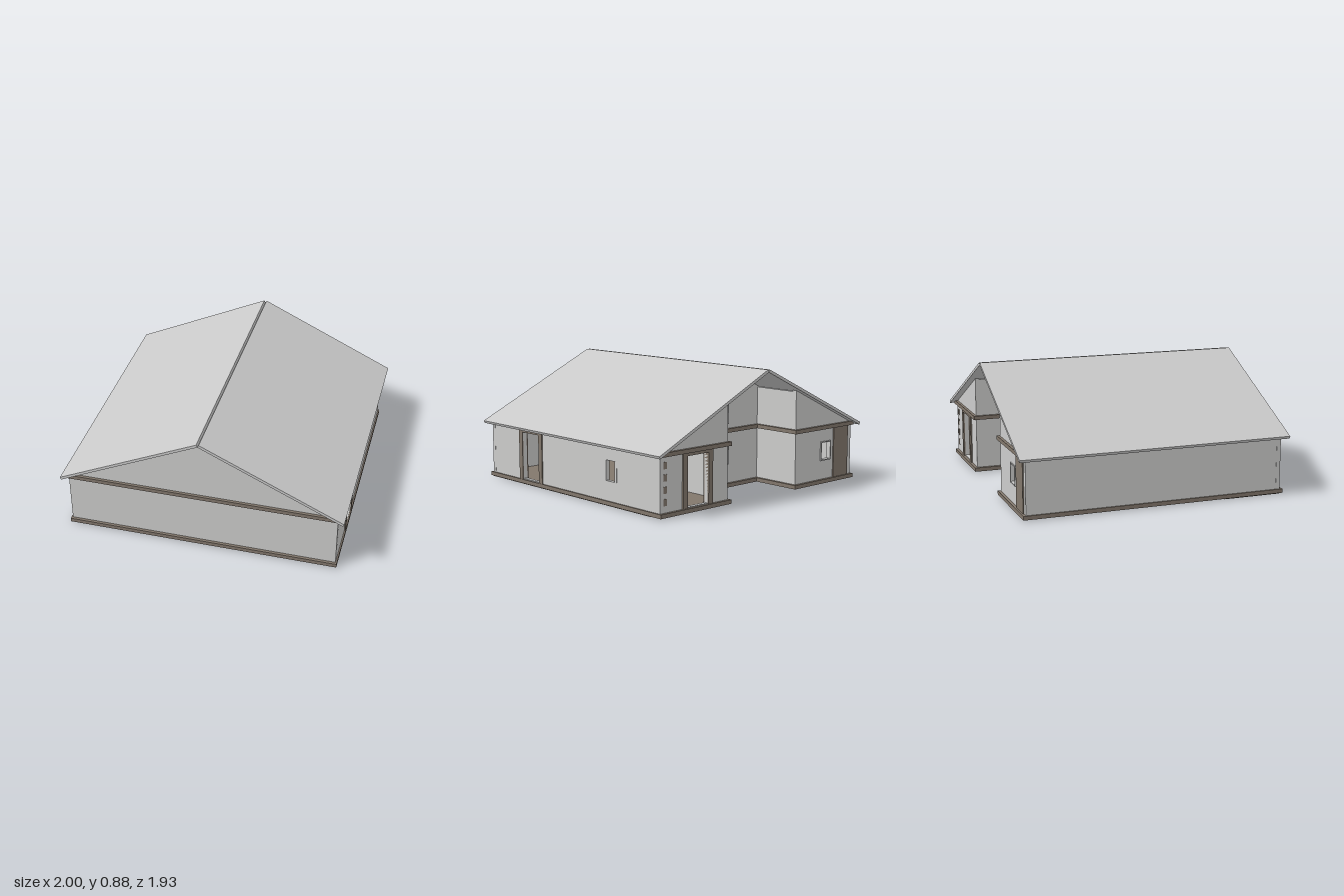
import * as THREE from 'three';

const T = 0.03;                                   // wall thickness
const FLOOR = 0.034, BEAM = 0.4, SILL = 0.17, HEAD = 0.31;
const roofUnder = x => 0.867 - 0.4717 * Math.abs(x);

export function createModel() {
  const model = new THREE.Group();
  const mat = (name, color) => {
    const m = new THREE.MeshStandardMaterial({ color });
    m.name = name;
    return m;
  };
  const wallGrey = mat('wall grey', 0xcccccb);
  const roofGrey = mat('roof grey', 0xc9c9c9);
  const brown = mat('concrete brown', 0x82776c);

  const add = (name, geometry, material) => {
    const mesh = new THREE.Mesh(geometry, material);
    mesh.name = name;
    model.add(mesh);
    return mesh;
  };
  // Box given by its minimum and maximum corners
  const box = (name, material, x0, x1, y0, y1, z0, z1) => {
    const g = new THREE.BoxGeometry(x1 - x0, y1 - y0, z1 - z0);
    g.translate((x0 + x1) / 2, (y0 + y1) / 2, (z0 + z1) / 2);
    return add(name, g, material);
  };
  const polygon = points => new THREE.Shape(points.map(p => new THREE.Vector2(...p)));
  const extrude = (points, depth, holes = []) => {
    const shape = polygon(points);
    for (const [a, b, c, d] of holes) {
      shape.holes.push(polygon([[a, c], [a, d], [b, d], [b, c]]));
    }
    return new THREE.ExtrudeGeometry(shape, { depth, bevelEnabled: false });
  };
  // Wall across x, rising to the roof slope; z is its rear face
  const gableWall = (name, x0, x1, z, holes) => {
    const top = [[x1, roofUnder(x1)]];
    if (x0 < 0 && x1 > 0) top.push([0, roofUnder(0)]);
    top.push([x0, roofUnder(x0)]);
    const g = extrude([[x0, FLOOR], [x1, FLOOR], ...top], T, holes);
    add(name, g.translate(0, 0, z), wallGrey);
  };
  // Wall along z; x is its face on the +x side
  const sideWall = (name, x, z0, z1, height, holes) => {
    const g = extrude([[z0, FLOOR], [z1, FLOOR], [z1, height], [z0, height]], T, holes);
    add(name, g.rotateY(-Math.PI / 2).translate(x, 0, 0), wallGrey);
  };

  // Floor slab and ring beam slab share the notched plan
  const plan = [[-0.96, -0.94], [0.96, -0.94], [0.96, 0.94], [0.32, 0.94],
    [0.32, 0.57], [-0.32, 0.57], [-0.32, 0.94], [-0.96, 0.94]];
  const slab = (name, y, h) =>
    add(name, extrude(plan, h).rotateX(-Math.PI / 2).translate(0, y, 0), brown);
  slab('floorSlab', 0.006, 0.028);
  slab('ringBeam', BEAM, 0.028);
  box('footing', brown, -0.95, -0.79, 0, 0.006, 0.5, 0.92);
  box('footing', brown, 0.87, 0.95, 0, 0.006, -0.84, 0.92);

  // Outer walls
  gableWall('frontWall', -0.95, 0.95, 0.89);
  sideWall('leftWall', 0.95, -0.919, 0.889, 0.415,
    [[0.35, 0.54, 0.04, 0.38], [-0.5, -0.39, SILL, HEAD]]);
  sideWall('rightWall', -0.95 + T, -0.919, 0.889, 0.415);
  gableWall('backLeftWingWall', 0.34, 0.95, -0.92, [[0.525, 0.715, 0.04, 0.38]]);
  gableWall('backRightWingWall', -0.95, -0.34, -0.92, [[-0.72, -0.61, SILL, HEAD]]);

  // Recessed back wall with windows below and above the beam
  gableWall('recessWall', -0.369, 0.369, -0.55,
    [[-0.04, 0.08, SILL, HEAD], [-0.04, 0.08, 0.46, 0.6]]);
  sideWall('recessLeftWall', 0.34 + T, -0.89, -0.55, roofUnder(0.36));
  sideWall('recessRightWall', -0.34, -0.89, -0.55, roofUnder(0.36));

  // Door frames: two posts and a lintel
  for (const [z0, z1] of [[0.31, 0.35], [0.54, 0.58]]) {
    box('sideDoorPost', brown, 0.91, 0.957, FLOOR, BEAM, z0, z1);
  }
  box('sideDoorLintel', brown, 0.91, 0.957, 0.38, BEAM, 0.35, 0.54);
  for (const [x0, x1] of [[0.485, 0.525], [0.715, 0.755]]) {
    box('backDoorPost', brown, x0, x1, FLOOR, BEAM, -0.93, -0.88);
  }
  box('backDoorLintel', brown, 0.525, 0.715, 0.38, BEAM, -0.93, -0.88);

  // Thin window surrounds standing a little proud of the walls
  const backWindow = (x0, x1, y0, y1, z) => {
    const e = 0.008;
    for (const x of [x0, x1 - e]) box('windowJamb', wallGrey, x, x + e, y0, y1, z - 0.008, z + T);
    for (const y of [y0, y1 - e]) box('windowRail', wallGrey, x0, x1, y, y + e, z - 0.008, z + T);
  };
  backWindow(-0.72, -0.61, SILL, HEAD, -0.92);
  backWindow(-0.04, 0.08, SILL, HEAD, -0.55);
  backWindow(-0.04, 0.08, 0.46, 0.6, -0.55);
  box('sideWindowJamb', wallGrey, 0.92, 0.953, SILL, HEAD, -0.5, -0.48);

  // Brown panels on the rear wall and inside, with corner patches
  box('rearPanel', brown, -0.91, -0.75, FLOOR, BEAM, -0.928, -0.919);
  box('innerPanel', brown, -0.921, -0.913, FLOOR, BEAM, -0.48, -0.37);
  for (const y of [0.08, 0.16, 0.24, 0.32]) {
    box('cornerPatch', brown, 0.89, 0.92, y, y + 0.045, -0.923, -0.919);
  }

  // Two roof slabs with square ends, leaving a narrow groove on the ridge
  for (const s of [-1, 1]) {
    const section = [[0, 0.867], [0.99, 0.4], [0.9985, 0.418], [0.0085, 0.885]]
      .map(([x, y]) => [s * x, y]);
    add(s > 0 ? 'leftRoofSlab' : 'rightRoofSlab',
      extrude(section, 1.935).translate(0, 0, -0.97), roofGrey);
  }
  return model;
}
